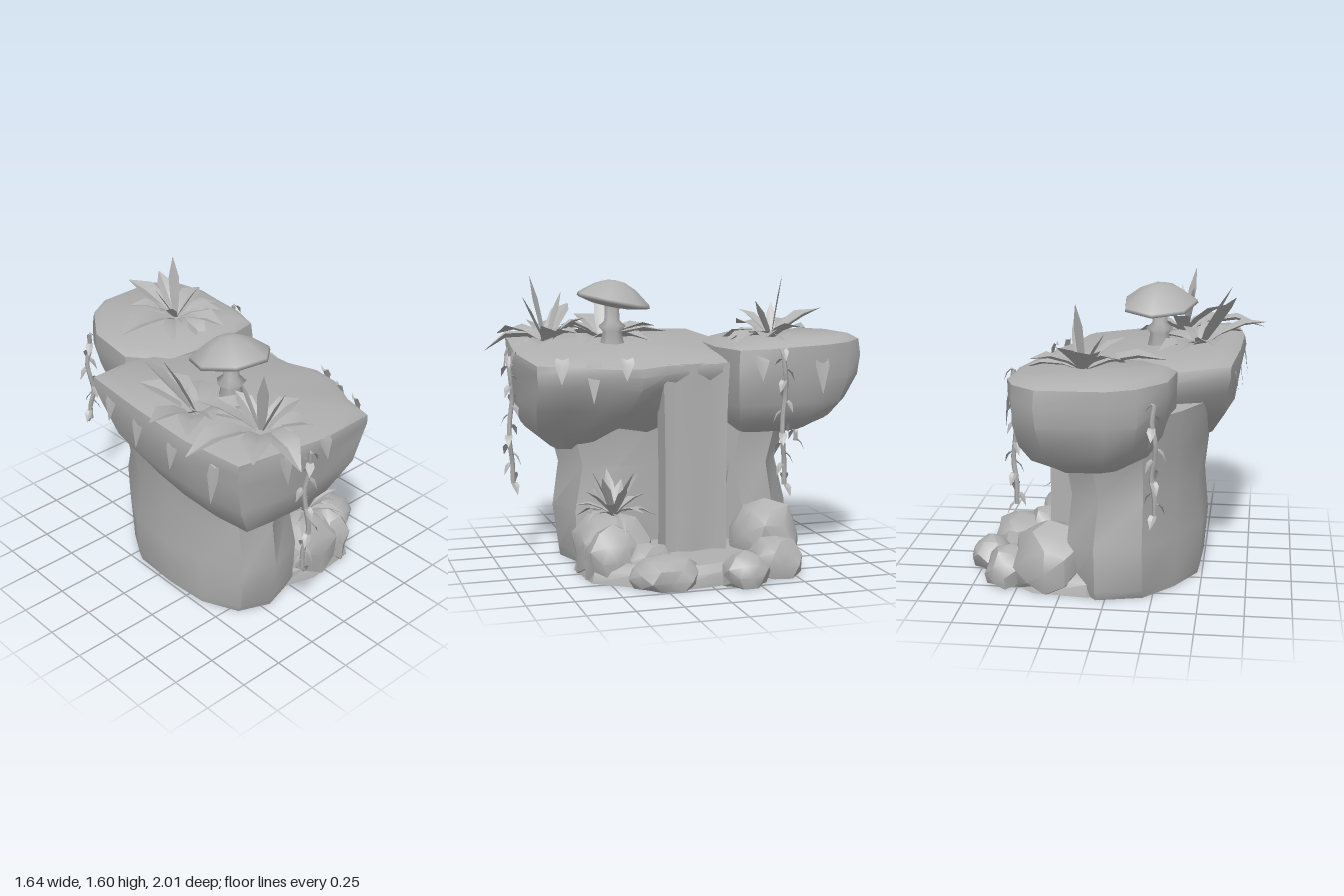
import * as THREE from 'three';
import { toCreasedNormals } from 'three/addons/utils/BufferGeometryUtils.js';

const stone = new THREE.MeshStandardMaterial({ color: 0xb0b0b0, side: THREE.DoubleSide });
stone.name = 'plain grey';

function build(positions, index, name, crease) {
  const g = new THREE.BufferGeometry();
  g.setAttribute('position', new THREE.Float32BufferAttribute(positions, 3));
  g.setIndex(index);
  const mesh = new THREE.Mesh(toCreasedNormals(g, crease), stone);
  mesh.name = name;
  return mesh;
}

// Stacks scaled copies of a plan outline [x, z]; layers are [y, scale, centreX, centreZ]
function loft(name, outline, layers, { tiltX = 0, tiltZ = 0, rough = 0 } = {}) {
  const p = [], idx = [], n = outline.length, last = layers.length - 1;
  layers.forEach(([y, s, cx, cz], k) => outline.forEach(([x, z], i) => {
    const r = s * (1 + (k < last ? rough * Math.sin(i * 2.4 + k * 1.3) : 0));
    const px = cx + (x - cx) * r, pz = cz + (z - cz) * r;
    const h = (y - layers[0][0]) / (layers[last][0] - layers[0][0]);
    p.push(px, y + h * (tiltX * px + tiltZ * pz), pz);
  }));
  for (let k = 0; k < last; k++) for (let i = 0; i < n; i++) {
    const a = k * n + i, b = k * n + (i + 1) % n;
    idx.push(a, a + n, b, b, a + n, b + n);
  }
  const cap = (k, up) => {
    const [y, , cx, cz] = layers[k], c = p.length / 3;
    p.push(cx, y + (up ? tiltX * cx + tiltZ * cz : 0), cz);
    for (let i = 0; i < n; i++) {
      const a = k * n + i, b = k * n + (i + 1) % n;
      idx.push(c, up ? b : a, up ? a : b);
    }
  };
  cap(0, false);
  cap(last, true);
  return build(p, idx, name, 0.7);
}

// Boulder with a bumpy surface, flattened where it meets the ground
function boulder(name, x, y, z, rx, ry, rz, seed) {
  const g = new THREE.IcosahedronGeometry(1, 1), a = g.attributes.position;
  const v = new THREE.Vector3();
  for (let i = 0; i < a.count; i++) {
    v.fromBufferAttribute(a, i);
    const k = 1 + 0.12 * Math.sin(v.x * 5 + seed) * Math.cos(v.z * 4 - seed + v.y * 3);
    a.setXYZ(i, x + v.x * rx * k, Math.max(0, y + v.y * ry * k), z + v.z * rz * k);
  }
  g.deleteAttribute('uv');
  const m = new THREE.Mesh(toCreasedNormals(g, 0.7), stone);
  m.name = name;
  return m;
}

// Folded pointed leaf; azimuth in degrees from +x towards +z
function leaf([az, length, width, rise, droop], x, y, z) {
  const t = [0, 0.3, 0.65, 1], w = [0.3, 0.85, 1, 0.04], p = [], idx = [];
  const c = Math.cos(az * Math.PI / 180), s = Math.sin(az * Math.PI / 180);
  t.forEach((u, i) => {
    const out = length * u, h = y + rise * u - droop * u * u;
    for (const side of [-1, 0, 1]) {
      const e = side * w[i] * width / 2;
      p.push(x + c * out - s * e, h + (side ? 0.2 * w[i] * width : 0), z + s * out + c * e);
    }
    if (i) for (const j of [0, 1]) {
      const a = (i - 1) * 3 + j, b = a + 3;
      idx.push(a, a + 1, b, a + 1, b + 1, b);
    }
  });
  return build(p, idx, 'leaf', 0.5);
}

function plant(name, x, y, z, leaves) {
  const g = new THREE.Group();
  g.name = name;
  leaves.forEach(l => g.add(leaf(l, x, y, z)));
  return g;
}

// Hanging stem with alternating small leaves
function vine(name, x, z, top, bottom) {
  const g = new THREE.Group(), pts = [];
  g.name = name;
  for (let i = 0; i <= 6; i++) {
    pts.push(new THREE.Vector3(x + 0.012 * Math.sin(i * 2), top + (bottom - top) * i / 6, z + 0.012 * Math.cos(i * 1.7)));
  }
  const curve = new THREE.CatmullRomCurve3(pts);
  const stem = new THREE.Mesh(new THREE.TubeGeometry(curve, 14, 0.014, 5), stone);
  stem.name = 'vineStem';
  g.add(stem);
  const count = Math.round((top - bottom) / 0.055);
  for (let i = 0; i <= count; i++) {
    const q = curve.getPoint(i / count);
    g.add(leaf([i * 137, 0.055, 0.045, 0.02, 0.08], q.x, q.y, q.z));
  }
  return g;
}

export function createModel() {
  const model = new THREE.Group();
  model.name = 'rockIsland';

  // Pillar of rock
  model.add(loft('cliffBody', [[0.06, -0.2], [0.04, 0.1], [0.1, 0.35], [0.02, 0.56], [-0.2, 0.64],
    [-0.38, 0.57], [-0.47, 0.35], [-0.5, 0.1], [-0.48, -0.18], [-0.36, -0.4], [-0.2, -0.6], [0.05, -0.64],
    [0.2, -0.5], [0.2, -0.32]],
  [[0, 0.97, -0.2, 0], [0.05, 1, -0.2, 0], [0.3, 1.04, -0.2, 0], [0.55, 0.96, -0.2, 0.05], [0.8, 1.06, -0.16, 0],
    [1.02, 1.16, -0.18, 0]], { rough: 0.02 }));

  // Overhanging ledges
  model.add(loft('frontLedge', [[0.36, -0.2], [0.37, 0.14], [0.45, 0.3], [0.42, 0.46], [0.33, 0.65], [0.28, 0.84],
    [-0.1, 0.88], [-0.4, 0.87], [-0.65, 0.84], [-0.7, 0.5], [-0.69, 0.1], [-0.64, -0.32], [-0.36, -0.38], [0.1, -0.3]],
  [[0.64, 0.3, -0.22, 0.58], [0.75, 0.61, -0.36, 0.7], [0.9, 0.86, -0.4, 0.7], [1.04, 0.96, -0.3, 0.4],
    [1.12, 1, -0.2, 0.25], [1.17, 0.99, -0.2, 0.25], [1.195, 0.88, -0.2, 0.2]], { tiltX: -0.1, rough: 0.012 }));
  model.add(loft('backLedge', [[0.48, -0.58], [0.48, -0.4], [0.45, -0.23], [0.15, -0.2], [-0.2, -0.22], [-0.37, -0.4],
    [-0.33, -0.7], [-0.2, -0.92], [-0.05, -0.99], [0.3, -1], [0.44, -0.88], [0.48, -0.72]],
  [[0.74, 0.5, 0.08, -0.42], [0.81, 0.76, 0.1, -0.38], [0.9, 0.89, 0.1, -0.42], [1.02, 0.98, 0.08, -0.56],
    [1.12, 1, 0.08, -0.6], [1.2, 0.99, 0.08, -0.6], [1.23, 0.86, 0.08, -0.6]], { tiltZ: -0.05, rough: 0.02 }));

  // Falling water and pool
  model.add(loft('waterfall', [[0.36, -0.2], [0.34, -0.1], [0.37, 0], [0.35, 0.09], [0.36, 0.16], [0.22, 0.16],
    [0.23, 0], [0.2, -0.18]],
  [[0.03, 0.98, 0.28, -0.01], [0.5, 0.96, 0.28, -0.02], [0.95, 1, 0.28, -0.02], [1.05, 1.03, 0.28, -0.02],
    [1.14, 1.05, 0.28, -0.02]]));
  model.add(loft('poolBase', [[0.7, 0], [0.72, 0.25], [0.6, 0.4], [0.45, 0.58], [0.15, 0.62], [-0.1, 0.55], [-0.2, 0.1],
    [-0.15, -0.45], [0.1, -0.6], [0.4, -0.57], [0.62, -0.4]],
  [[0, 1, 0.3, 0], [0.07, 0.97, 0.3, 0], [0.11, 0.88, 0.3, 0]], { rough: 0.02 }));

  // Boulders around the pool: x, y, z, radii, seed
  [[0.22, 0.12, 0.42, 0.23, 0.22, 0.22, 1], [0.39, 0.11, 0.46, 0.13, 0.18, 0.16, 2],
    [0.33, 0.13, -0.43, 0.21, 0.24, 0.2, 3], [0.56, 0.07, -0.41, 0.13, 0.15, 0.15, 4],
    [0.7, 0.06, -0.18, 0.12, 0.12, 0.13, 5], [0.61, 0.05, 0.23, 0.16, 0.12, 0.2, 6],
    [0.47, 0.08, 0.28, 0.1, 0.13, 0.14, 7],
    [0.07, 0.55, -0.2, 0.1, 0.26, 0.16, 9]].forEach((b, i) => model.add(boulder('boulder' + (i + 1), ...b)));

  // Mushroom
  const mushroom = new THREE.Group();
  mushroom.name = 'mushroom';
  const profile = pts => pts.map(([r, y]) => new THREE.Vector2(r, y));
  const cap = new THREE.Mesh(new THREE.LatheGeometry(profile([[0, -0.02], [0.13, -0.01], [0.22, 0.01], [0.215, 0.03],
    [0.12, 0.1], [0.05, 0.13], [0, 0.135]]), 7), stone);
  cap.name = 'mushroomCap';
  cap.position.y = 0.235;
  cap.rotation.set(-0.18, 0.3, -0.04);
  const stem = new THREE.Mesh(new THREE.LatheGeometry(profile([[0.08, -0.04], [0.055, 0.08], [0.08, 0.11],
    [0.045, 0.14], [0.04, 0.25]]), 7), stone);
  stem.name = 'mushroomStem';
  mushroom.add(cap, stem);
  mushroom.position.set(-0.21, 1.2, 0.3);
  model.add(mushroom);

  // Plants: each leaf is azimuth, length, width, rise, droop
  model.add(plant('frontPlant', -0.33, 1.2, 0.66, [[183, 0.48, 0.14, 0.32, 0.26], [100, 0.35, 0.15, 0.25, 0.28],
    [140, 0.36, 0.15, 0.25, 0.2], [20, 0.34, 0.14, 0.16, 0.2], [62, 0.27, 0.13, 0.14, 0.26], [215, 0.33, 0.11, 0.34, 0.12],
    [275, 0.22, 0.1, 0.25, 0.1], [325, 0.24, 0.11, 0.2, 0.12], [0, 0.27, 0.12, 0.25, 0.15],
    [130, 0.1, 0.06, 0.39, 0], [80, 0.14, 0.05, 0.28, 0], [240, 0.12, 0.05, 0.3, 0]]));
  model.add(plant('sidePlant', -0.45, 1.2, 0.3, [[255, 0.36, 0.15, 0.2, 0.12], [285, 0.38, 0.14, 0.16, 0.1],
    [168, 0.38, 0.13, 0.28, 0.14], [140, 0.3, 0.13, 0.22, 0.16], [220, 0.26, 0.13, 0.36, 0.04],
    [315, 0.32, 0.14, 0.14, 0.12], [195, 0.18, 0.1, 0.38, 0.02], [75, 0.28, 0.14, 0.16, 0.1],
    [35, 0.34, 0.14, 0.16, 0.16], [110, 0.24, 0.12, 0.24, 0.14]]));
  model.add(plant('backPlant', 0.12, 1.24, -0.54, [[174, 0.44, 0.16, 0.2, 0.14], [255, 0.33, 0.13, 0.26, 0.1],
    [290, 0.28, 0.09, 0.24, 0.06], [62, 0.3, 0.14, 0.14, 0.14], [30, 0.28, 0.13, 0.16, 0.14], [130, 0.32, 0.14, 0.16, 0.18],
    [340, 0.28, 0.12, 0.2, 0.12], [5, 0.33, 0.1, 0.14, 0.14], [95, 0.3, 0.13, 0.16, 0.2], [215, 0.26, 0.1, 0.24, 0.14],
    [150, 0.24, 0.08, 0.26, 0.1], [300, 0.06, 0.06, 0.36, 0], [60, 0.14, 0.05, 0.22, 0], [200, 0.12, 0.05, 0.2, 0]]));
  model.add(plant('poolPlant', 0.26, 0.31, 0.42, Array.from({ length: 20 }, (_, i) =>
    [i * 137.5, 0.25 - 0.007 * i, 0.055, 0.14 + 0.006 * i, Math.max(0, 0.18 - 0.012 * i)])));

  // Hanging vines
  model.add(vine('frontVine', -0.22, 0.89, 1.15, 0.43));
  model.add(vine('rightVine', 0.5, -0.47, 1.22, 0.48));
  model.add(vine('backVine', -0.28, -0.86, 1.15, 0.58));

  // Moss tips drooping over the rims: x, z, azimuth, length of drop
  const moss = new THREE.Group();
  moss.name = 'mossTips';
  [[-0.37, 0.86, 90, 0.14], [-0.1, 0.87, 90, 0.1], [0.3, 0.7, 20, 0.12], [0.35, 0.54, 20, 0.22], [0.4, 0.38, 10, 0.1],
    [-0.67, 0.7, 180, 0.2], [-0.68, 0.4, 180, 0.14], [-0.66, 0.1, 180, 0.16], [-0.64, -0.15, 180, 0.12],
    [0.46, -0.7, 0, 0.2], [0.46, -0.35, 0, 0.12]].forEach(([x, z, az, drop]) =>
    moss.add(leaf([az, 0.04, 0.08, 0.08, drop + 0.08], x, 1.17, z)));
  model.add(moss);

  return model;
}
